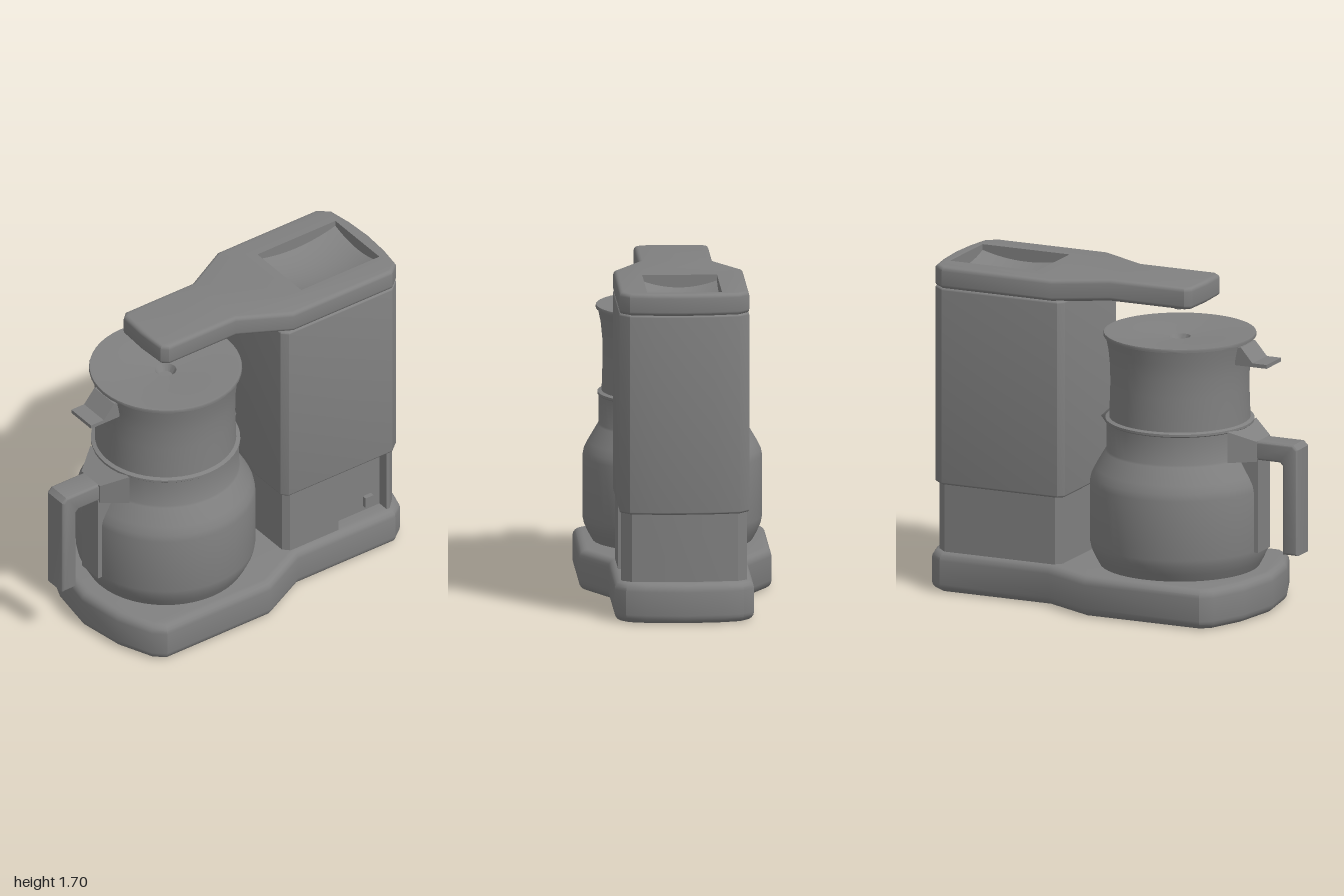
import * as THREE from 'three';
import { toCreasedNormals } from 'three/addons/utils/BufferGeometryUtils.js';

const POT_Z = 0.305;

export function createModel() {
  const group = new THREE.Group();
  const grey = new THREE.MeshStandardMaterial({ color: 0x808080, side: THREE.DoubleSide });
  grey.name = 'grey';

  const add = (name, geometry, x = 0, y = 0, z = 0, crease = 0.6) => {
    const mesh = new THREE.Mesh(crease ? toCreasedNormals(geometry, crease) : geometry, grey);
    mesh.name = name;
    mesh.position.set(x, y, z);
    group.add(mesh);
    return mesh;
  };

  // Mirror a right-hand half outline [x, z] into a closed loop
  const mirror = (half) => [
    ...half,
    ...half.filter(([x]) => x > 0).reverse().map(([x, z]) => [-x, z]),
  ];

  // Extrude a plan outline [x, z] upwards from y0 to y1, keeping its outer size
  const slab = (outline, y0, y1, bevel = 0, hole = null) => {
    const toPoint = ([x, z]) => new THREE.Vector2(x, -z);
    const shape = new THREE.Shape(outline.map(toPoint));
    if (hole) shape.holes.push(new THREE.Path(hole.map(toPoint)));
    const geometry = new THREE.ExtrudeGeometry(shape, {
      depth: y1 - y0 - 2 * bevel,
      bevelEnabled: bevel > 0,
      bevelSize: bevel,
      bevelThickness: bevel,
      bevelOffset: -bevel,
      bevelSegments: 4,
    });
    geometry.rotateX(-Math.PI / 2);
    geometry.translate(0, y0 + bevel, 0);
    return geometry;
  };

  // Extrude a side profile [z, y] across the width
  const sideProfile = (points, width, bevel = 0) => {
    const shape = new THREE.Shape(points.map(([z, y]) => new THREE.Vector2(z, y)));
    const geometry = new THREE.ExtrudeGeometry(shape, {
      depth: width - 2 * bevel,
      bevelEnabled: bevel > 0,
      bevelSize: bevel,
      bevelThickness: bevel,
      bevelOffset: -bevel,
      bevelSegments: 3,
    });
    geometry.translate(0, 0, bevel - width / 2);
    geometry.rotateY(-Math.PI / 2);
    return geometry;
  };

  const lathe = (points) =>
    new THREE.LatheGeometry(points.map(([r, y]) => new THREE.Vector2(r, y)), 48);

  // Base plate
  add('base', slab(mirror([
    [0, 0.83], [0.25, 0.79], [0.44, 0.71], [0.49, 0.65], [0.49, 0],
    [0.355, -0.27], [0.355, -0.88], [0.3, -0.95], [0.2, -0.98], [0, -1],
  ]), 0, 0.21, 0.045));

  // Column: inset lower part with a notch on its left side, wider upper part
  add('lowerColumn', slab([
    [0.29, -0.215], [0.32, -0.245], [0.32, -0.55], [0.26, -0.55], [0.26, -0.85],
    [0.32, -0.85], [0.32, -0.87], [0.27, -0.92], [0, -0.945],
    [-0.27, -0.92], [-0.32, -0.87], [-0.32, -0.245], [-0.29, -0.215],
  ], 0.2, 0.58));
  add('switch', new THREE.BoxGeometry(0.03, 0.06, 0.05), 0.27, 0.27, -0.77);
  add('upperColumn', slab(mirror([
    [0.3, -0.2], [0.33, -0.23], [0.33, -0.88], [0.28, -0.94], [0.15, -0.958], [0, -0.965],
  ]), 0.56, 1.59, 0.012));

  // Overhanging arm with a straight-sided tank opening
  const arm = slab(mirror([
    [0, 0.46], [0.16, 0.452], [0.19, 0.42], [0.19, 0], [0.33, -0.26],
    [0.33, -0.88], [0.28, -0.94], [0.15, -0.961], [0, -0.97],
  ]), 1.585, 1.7, 0.022, [[-0.19, -0.9], [0.19, -0.9], [0.19, -0.41], [-0.19, -0.41]]);
  const p = arm.attributes.position;
  for (let i = 0; i < p.count; i++) {
    const x = p.getX(i), z = p.getZ(i);
    if (Math.abs(x) < 0.25 && z > -0.93 && z < -0.38) {
      p.setX(i, Math.sign(x) * 0.19);
      p.setZ(i, z < -0.65 ? -0.9 : -0.41);
    }
  }
  add('arm', arm);

  // Dished floor of the tank opening
  const dish = new THREE.PlaneGeometry(0.38, 0.49, 16, 16).rotateX(-Math.PI / 2);
  const d = dish.attributes.position;
  for (let i = 0; i < d.count; i++) {
    const u = d.getX(i) / 0.19, v = d.getZ(i) / 0.245;
    d.setY(i, 1.6 + 0.035 * (u * u + v * v));
  }
  dish.computeVertexNormals();
  add('tankFloor', dish, 0, 0, -0.655, 0);

  // Water channel and drip nozzle under the arm
  add('waterChannel', new THREE.BoxGeometry(0.11, 0.025, 0.57), 0, 1.58, 0.085);
  add('nozzle', new THREE.CylinderGeometry(0.028, 0.025, 0.05, 20), 0, 1.565, 0.3);

  // Pot, filter basket and dished lid
  add('pot', lathe([
    [0, 0.205], [0.405, 0.205], [0.43, 0.25], [0.45, 0.295], [0.457, 0.33], [0.457, 0.64],
    [0.45, 0.675], [0.43, 0.715], [0.38, 0.8], [0.374, 0.81], [0.374, 0.955],
    [0.38, 0.96], [0.38, 0.972], [0.355, 0.98],
  ]), 0, 0, POT_Z);
  add('filterBasket', lathe([
    [0.36, 0.965], [0.354, 1.15], [0.356, 1.25], [0.364, 1.33], [0.378, 1.4],
  ]), 0, 0, POT_Z);
  add('lid', lathe([
    [0.37, 1.4], [0.388, 1.402], [0.39, 1.41], [0.387, 1.42], [0.37, 1.42],
    [0.2, 1.405], [0.055, 1.395], [0.035, 1.36], [0, 1.36],
  ]), 0, 0, POT_Z);

  // Pouring lip at the back of the pot
  const lip = new THREE.ConeGeometry(0.13, 0.14, 24).rotateX(-Math.PI / 2);
  add('pouringLip', lip, 0, 0.93, -0.07);

  // Thumb tab on the basket
  add('basketTab', sideProfile([
    [0.64, 1.395], [0.69, 1.395], [0.755, 1.32], [0.835, 1.32],
    [0.835, 1.3], [0.74, 1.3], [0.675, 1.375], [0.64, 1.375],
  ], 0.17));
  for (const s of [-1, 1]) {
    add('basketTabSide', sideProfile([
      [0.64, 1.39], [0.69, 1.39], [0.755, 1.32], [0.755, 1.3], [0.64, 1.3],
    ], 0.012), s * 0.079);
  }

  // Handle bracket, tapering forwards from the collar
  const bracket = new THREE.BoxGeometry(1, 1, 1);
  const b = bracket.attributes.position;
  for (let i = 0; i < b.count; i++) {
    const front = b.getZ(i) > 0, top = b.getY(i) > 0;
    b.setXYZ(i, Math.sign(b.getX(i)) * (front ? 0.08 : 0.168),
      top ? (front ? 0.91 : 0.967) : 0.805, front ? 0.775 : 0.655);
  }
  bracket.computeVertexNormals();
  add('handleBracket', bracket);

  // Handle grip and the strip against the pot
  add('handleGrip', sideProfile([
    [0.74, 0.81], [0.9, 0.81], [0.915, 0.795], [0.915, 0.33], [1, 0.33],
    [1, 0.885], [0.975, 0.91], [0.74, 0.91],
  ], 0.14, 0.014));
  add('handleStrip', new THREE.BoxGeometry(0.14, 0.49, 0.13), 0, 0.57, 0.715);

  return group;
}
